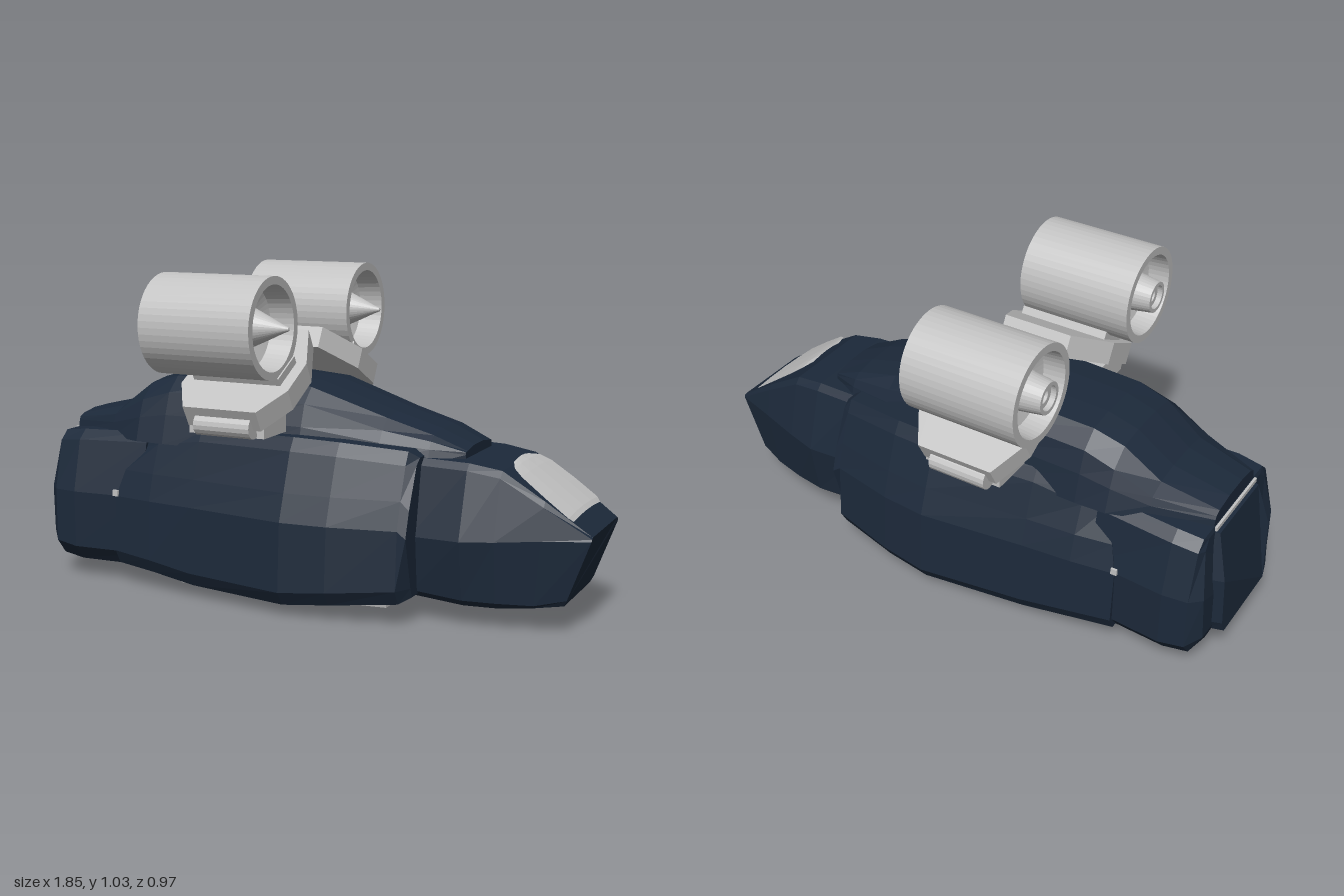
import * as THREE from 'three';

const navy = new THREE.MeshStandardMaterial({ color: 0x1c293a, flatShading: true });
navy.name = 'navyHull';
const grey = new THREE.MeshStandardMaterial({ color: 0xc2c2c2, flatShading: true });
grey.name = 'lightGrey';

// Lofts mirrored cross-sections along x. Section: [x, [[z, y, dx], ...]] listed bottom to top.
function loft(sections) {
  const rings = sections.map(([x, half]) => [
    ...half.map(([z, y, dx = 0]) => [x + dx, y, z]),
    ...[...half].reverse().map(([z, y, dx = 0]) => [x + dx, y, -z]),
  ]);
  const out = [];
  const tri = (a, b, c) => out.push(...a, ...b, ...c);
  const n = rings[0].length;
  for (let i = 0; i < rings.length - 1; i++) {
    for (let j = 0; j < n; j++) {
      const k = (j + 1) % n, p = rings[i], q = rings[i + 1];
      tri(p[j], q[j], q[k]);
      tri(p[j], q[k], p[k]);
    }
  }
  const first = rings[0], last = rings[rings.length - 1];
  for (let k = 1; k < n - 1; k++) {
    tri(first[0], first[k], first[k + 1]);
    tri(last[0], last[k + 1], last[k]);
  }
  const g = new THREE.BufferGeometry();
  g.setAttribute('position', new THREE.Float32BufferAttribute(out, 3));
  g.computeVertexNormals();
  return g;
}

function add(parent, name, geometry, material, x = 0, y = 0, z = 0) {
  const m = new THREE.Mesh(geometry, material);
  m.name = name;
  m.position.set(x, y, z);
  parent.add(m);
  return m;
}
const box = (x, y, z) => new THREE.BoxGeometry(x, y, z);

// Lathe profile of [radius, x] points turned to run along x
function turned(points, sides) {
  return new THREE.LatheGeometry(points.map(([r, x]) => new THREE.Vector2(r, x)), sides).rotateZ(-Math.PI / 2);
}

function addHull(ship) {
  // Wide middle body: x, half width, bottom, top; the rear edge is stepped
  const body = [[-0.54, 0.29, 0.075, 0.5], [-0.4, 0.312, 0.065, 0.515], [-0.24, 0.328, 0.045, 0.54],
    [0.1, 0.373, 0.04, 0.545], [0.25, 0.36, 0.055, 0.54], [0.46, 0.315, 0.075, 0.525]];
  const sections = body.map(([x, w, b, t], i) => {
    const step = i === 0 ? 0.08 : 0;
    return [x, [[w * 0.92, b], [w, b + 0.045], [w * 0.965, 0.3], [w * 0.885, 0.385, step * 0.3],
      [w * 0.77, t - 0.04, step], [w * 0.7, t, step]]];
  });
  sections.push([0.488, [[0.25, 0.09], [0.262, 0.12], [0.305, 0.28], [0.28, 0.36], [0.225, 0.485], [0.2, 0.505]]]);
  add(ship, 'mainBody', loft(sections), navy);

  // Rear body with chamfered back, and slanted tail plate
  const rear = [[-0.78, 0.278, 0.075, 0.488], [-0.7, 0.288, 0.065, 0.498], [-0.45, 0.27, 0.065, 0.505]].map(([x, w, b, t]) => [x,
    [[w * 0.86, b], [w, b + 0.05], [w, 0.3], [w * 0.86, t - 0.03], [w * 0.74, t]]]);
  rear.unshift([-0.82, [[0.19, 0.11, 0.01], [0.235, 0.15], [0.245, 0.3, 0.005], [0.21, 0.45, 0.03], [0.18, 0.475, 0.035]]]);
  add(ship, 'rearBody', loft(rear), navy);
  const plate = (w) => [[w * 0.9, 0.12, -0.02], [w, 0.16, -0.018], [w, 0.32, -0.01], [w * 0.85, 0.47, 0.03]];
  add(ship, 'tailPlate', loft([[-0.83, plate(0.16)], [-0.77, plate(0.18)]]), navy);
  add(ship, 'tailStrip', box(0.008, 0.014, 0.28), grey, -0.787, 0.482, 0);

  // Faceted nose
  add(ship, 'nose', loft([
    [0.47, [[0.19, 0.08], [0.21, 0.1], [0.228, 0.27], [0.19, 0.48], [0.17, 0.5]]],
    [0.63, [[0.195, 0.07], [0.215, 0.09], [0.246, 0.275], [0.185, 0.475], [0.165, 0.495]]],
    [0.73, [[0.18, 0.07], [0.2, 0.09], [0.222, 0.28], [0.175, 0.46], [0.157, 0.48]]],
    [0.86, [[0.155, 0.077, -0.03], [0.172, 0.09, -0.02], [0.187, 0.29], [0.166, 0.385], [0.155, 0.402]]],
    [0.99, [[0.135, 0.09, -0.07], [0.145, 0.11, -0.06], [0.148, 0.295, 0.008], [0.144, 0.302, 0.009], [0.135, 0.306, 0.008]]],
  ]), navy);

  // Raised back running from tail to nose: x, half width, flank z, flank y, top half width, top
  const back = [[-0.78, 0.14, 0.13, 0.52, 0.11, 0.54], [-0.6, 0.205, 0.185, 0.55, 0.13, 0.582],
    [-0.48, 0.245, 0.2, 0.61, 0.14, 0.668], [-0.38, 0.25, 0.2, 0.64, 0.145, 0.697], [-0.1, 0.245, 0.2, 0.645, 0.15, 0.706],
    [0.1, 0.238, 0.19, 0.635, 0.14, 0.692], [0.35, 0.205, 0.165, 0.57, 0.125, 0.612], [0.5, 0.17, 0.145, 0.545, 0.12, 0.57],
    [0.6, 0.115, 0.112, 0.515, 0.1, 0.527]];
  add(ship, 'raisedBack', loft(back.map(([x, w, fz, fy, tz, t]) => [x,
    [[w, 0.48], [(w + fz) / 2, (0.5 + fy) / 2], [fz, fy], [tz, t - 0.01], [tz * 0.4, t]]])), navy);

  for (const s of [1, -1]) add(ship, 'sideVent', box(0.02, 0.02, 0.008), grey, -0.54, 0.31, s * 0.282);
}

// Arched windscreen following the nose slope, tapered to a bowed upper edge
function addWindow(ship) {
  const rows = [[0.735, 0.494, 0.07], [0.755, 0.484, 0.12], [0.785, 0.465, 0.142], [0.86, 0.412, 0.153], [0.93, 0.361, 0.154], [0.942, 0.349, 0.14]];
  const pos = [], index = [], cols = [-1, -0.5, 0, 0.5, 1];
  for (const [x, y, w] of rows) for (const c of cols) pos.push(x, y + 0.005 - 0.007 * c * c, c * w);
  for (let i = 0; i < rows.length - 1; i++) {
    for (let j = 0; j < 4; j++) {
      const a = i * 5 + j;
      index.push(a, a + 1, a + 6, a, a + 6, a + 5);
    }
  }
  const g = new THREE.BufferGeometry();
  g.setAttribute('position', new THREE.Float32BufferAttribute(pos, 3));
  g.setIndex(index);
  g.computeVertexNormals();
  add(ship, 'windscreen', g, grey);
}

// Tilted engine mount, built for the left side
function makePylon() {
  const pylon = new THREE.Group();
  const outline = [[-0.12, -0.215], [0.13, -0.215], [0.185, -0.1], [0.185, 0.04], [0.115, 0.215],
    [-0.115, 0.215], [-0.185, 0.04], [-0.185, -0.1]].map(([x, y]) => new THREE.Vector2(x, y));
  const g = new THREE.ExtrudeGeometry(new THREE.Shape(outline), { depth: 0.07, bevelEnabled: false });
  g.translate(0, 0, -0.035);
  const slab = add(pylon, 'mountPlate', g, grey, 0, 0.712, 0.212);
  slab.rotation.x = -1.076;
  add(slab, 'engineSaddle', box(0.3, 0.12, 0.03), grey, 0, -0.02, 0.045);
  add(pylon, 'mountBracket', box(0.26, 0.08, 0.14), grey, 0, 0.592, 0.295);
  add(pylon, 'hinge', new THREE.CylinderGeometry(0.035, 0.035, 0.19, 16).rotateZ(Math.PI / 2), grey, 0.01, 0.587, 0.382);
  return pylon;
}

// Ducted engine with front spinner and rear nozzle
function makeEngine() {
  const engine = new THREE.Group();
  add(engine, 'cowl', turned([[0.06, -0.1], [0.124, -0.12], [0.13, -0.188], [0.155, -0.188], [0.155, 0.188],
    [0.13, 0.188], [0.124, 0.11], [0.06, 0.085]], 48), grey);
  add(engine, 'spinner', turned([[0.067, 0.08], [0.067, 0.1], [0.036, 0.17], [0.012, 0.222], [0.006, 0.238], [0, 0.24]], 32), grey);
  add(engine, 'nozzle', turned([[0, -0.17], [0.022, -0.17], [0.022, -0.195], [0.038, -0.195], [0.038, -0.212],
    [0.05, -0.212], [0.056, -0.17], [0.067, -0.09]], 32), grey);
  return engine;
}

// Grey belly tray with sloped ends, raised ribs, pads and dark wells
function addBelly(ship) {
  add(ship, 'bellyTray', loft([
    [-0.46, [[0.11, 0.005], [0.13, 0.075]]], [-0.36, [[0.17, 0.002], [0.185, 0.075]]], [-0.27, [[0.17, 0.025], [0.185, 0.075]]],
    [0.2, [[0.17, 0.025], [0.185, 0.075]]], [0.27, [[0.172, 0.015], [0.187, 0.08]]], [0.37, [[0.17, 0.018], [0.185, 0.08]]],
  ]), grey);
  for (const s of [1, -1]) {
    add(ship, 'bellyRail', box(0.5, 0.016, 0.03), grey, -0.02, 0.024, s * 0.15);
    for (let i = 0; i < 4; i++) {
      const x = -0.21 + i * 0.13 + s * 0.02;
      add(ship, 'bellyPad', box(0.07, 0.018, 0.07), grey, x, 0.021, s * 0.08);
      if (i % 2 === 0) add(ship, 'bellyWell', box(0.045, 0.006, 0.04), navy, x, 0.011, s * 0.08);
    }
  }
  for (let i = 0; i < 4; i++) add(ship, 'bellyRib', box(0.025, 0.014, 0.28), grey, -0.2 + i * 0.13, 0.023, 0);
  add(ship, 'bellySpine', box(0.45, 0.014, 0.03), grey, -0.02, 0.021, 0);
  add(ship, 'bellyHatch', box(0.1, 0.006, 0.04), navy, 0, 0.013, 0);
}

export function createModel() {
  const ship = new THREE.Group();
  ship.name = 'ship';
  addHull(ship);
  addWindow(ship);
  addBelly(ship);
  for (const s of [1, -1]) {
    const side = s > 0 ? 'left' : 'right';
    const pylon = makePylon();
    pylon.name = side + 'Pylon';
    pylon.position.set(-0.075, 0, s > 0 ? 0 : -0.02);
    if (s < 0) pylon.rotation.y = Math.PI;
    const engine = makeEngine();
    engine.name = side + 'Engine';
    engine.position.set(-0.118, 0.88, s * 0.328);
    ship.add(pylon, engine);
  }
  return ship;
}
